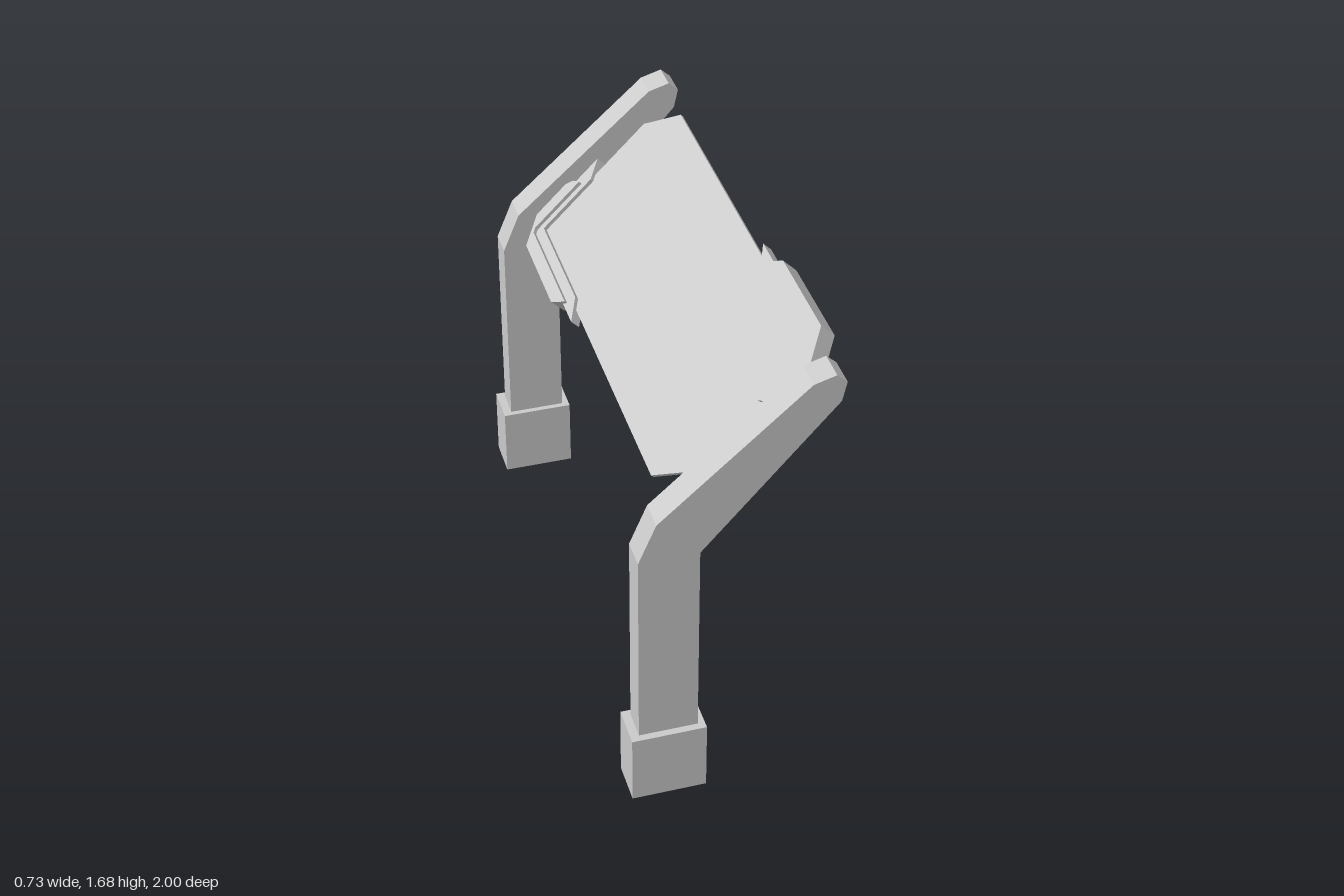
import * as THREE from 'three';

const material = new THREE.MeshStandardMaterial({ color: 0xcccccc, flatShading: true, side: THREE.DoubleSide });

// Flat plate from an outline, centred on its own thickness
function plate(name, points, thickness) {
  const shape = new THREE.Shape(points.map(([x, y]) => new THREE.Vector2(x, y)));
  const geometry = new THREE.ExtrudeGeometry(shape, { depth: thickness, bevelEnabled: false });
  geometry.translate(0, 0, -thickness / 2);
  const mesh = new THREE.Mesh(geometry, material);
  mesh.name = name;
  return mesh;
}

// Bent post standing in a square foot sleeve with an open underside
function createSupport(side) {
  const support = new THREE.Group();
  support.name = side > 0 ? 'frontSupport' : 'backSupport';

  const post = plate('bentPost', [
    [-0.335, 0.265], [-0.13, 0.265], [-0.13, 1.02], [0.32, 1.53], [0.335, 1.6],
    [0.3, 1.632], [0.225, 1.61], [-0.275, 1.165], [-0.335, 1.02],
  ], 0.105);
  post.position.z = side * 0.9225;

  const box = new THREE.BoxGeometry(0.26, 0.267, 0.15);
  const index = Array.from(box.index.array);
  index.splice(18, 6); // drop the bottom face
  box.setIndex(index);
  box.clearGroups();
  const foot = new THREE.Mesh(box, material);
  foot.name = 'foot';
  foot.position.set(-0.235, 0.1335, side * 0.925);

  support.add(post, foot);
  return support;
}

// Corner bracket: thin pointed web gripping the panel, thicker rim outside it
function createBracket(name) {
  const bracket = new THREE.Group();
  bracket.name = name;
  bracket.add(
    plate('bracketWeb', [
      [0.24, 0.38], [0.33, 0.325], [0.79, 0.325], [0.79, 0.07],
      [0.853, 0.008], [0.853, 0.33], [0.8, 0.38],
    ], 0.04),
    plate('bracketRim', [
      [0.355, 0.378], [0.34, 0.364], [0.8, 0.364], [0.815, 0.35], [0.815, 0.11],
      [0.85, 0.13], [0.872, 0.167], [0.872, 0.32], [0.775, 0.414], [0.4, 0.414],
    ], 0.066),
  );
  return bracket;
}

export function createModel() {
  const model = new THREE.Group();
  model.name = 'tiltedPanelStand';
  model.add(createSupport(1), createSupport(-1));

  // Tilted assembly: local x runs along the panel, local y up its slope
  const tilted = new THREE.Group();
  tilted.name = 'tiltedPanel';
  const s = Math.SQRT1_2;
  tilted.quaternion.setFromRotationMatrix(new THREE.Matrix4().makeBasis(
    new THREE.Vector3(0, 0, 1), new THREE.Vector3(s, s, 0), new THREE.Vector3(-s, s, 0)));
  tilted.position.set(0.045, 1.362, 0);

  // Panel with two opposite corners cut off
  tilted.add(plate('panel', [
    [-0.81, -0.35], [0.675, -0.35], [0.81, -0.21],
    [0.81, 0.35], [-0.675, 0.35], [-0.81, 0.21],
  ], 0.012));

  const upper = createBracket('upperBracket');
  const lower = createBracket('lowerBracket');
  lower.rotation.z = Math.PI;
  tilted.add(upper, lower);
  model.add(tilted);
  return model;
}
